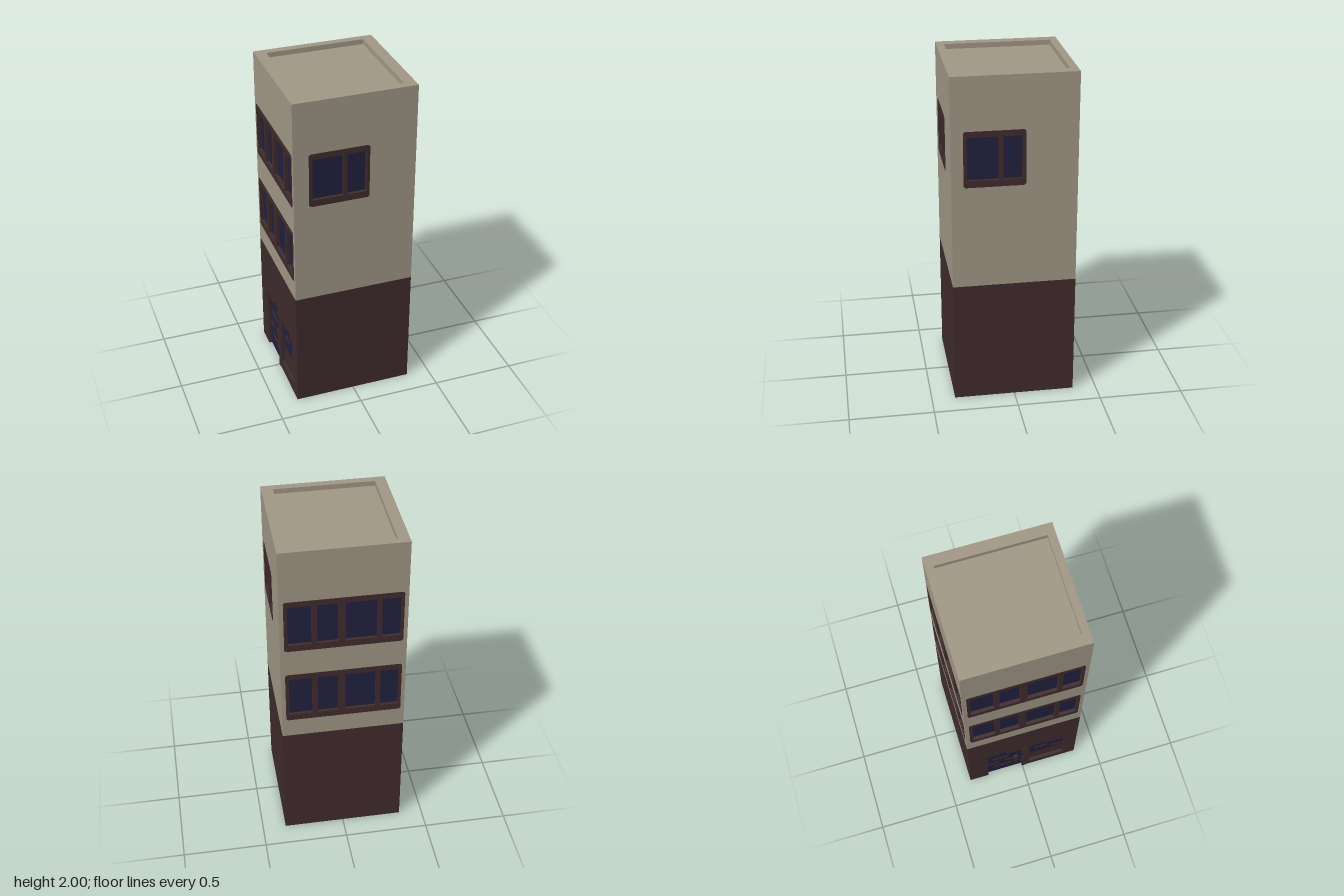
import * as THREE from 'three';

const HALF = 0.36, CORE = 0.34, SKIN = HALF - CORE;
const SPLIT = 0.742, ROOF = 1.97;

const mat = (name, color) => {
  const m = new THREE.MeshStandardMaterial({ color });
  m.name = name;
  return m;
};

export function createModel() {
  const stone = mat('beige stone', 0xa39987);
  const brown = mat('dark brown', 0x412c2d);
  const glass = mat('navy glass', 0x21213f);
  const model = new THREE.Group();
  model.name = 'tower';

  const add = (parent, name, geo, material) => {
    const mesh = new THREE.Mesh(geo, material);
    mesh.name = name;
    parent.add(mesh);
    return mesh;
  };
  // Box given by its limits on each axis
  const block = (parent, name, x0, x1, y0, y1, z0, z1, material) =>
    add(parent, name, new THREE.BoxGeometry(x1 - x0, y1 - y0, z1 - z0), material)
      .position.set((x0 + x1) / 2, (y0 + y1) / 2, (z0 + z1) / 2);
  const corners = (x0, x1, y0, y1) => [[x0, y0], [x1, y0], [x1, y1], [x0, y1]]
    .map(([x, y]) => new THREE.Vector2(x, y));
  // Flat plate with rectangular openings, extruded outward from the core
  const plate = (parent, name, outline, holes, depth, material) => {
    const shape = new THREE.Shape(outline);
    holes.forEach(h => shape.holes.push(new THREE.Path(corners(...h))));
    const geo = new THREE.ExtrudeGeometry(shape, { depth, bevelEnabled: false });
    add(parent, name, geo, material).position.z = CORE;
  };

  // Window: frame with clipped corners and recessed panes
  const windowUnit = (side, [u0, u1], panes, y) => {
    const c = 0.01, y0 = y, y1 = y + 0.33;
    const outline = [[u0 + c, y0], [u1 - c, y0], [u1, y0 + c], [u1, y1 - c],
      [u1 - c, y1], [u0 + c, y1], [u0, y1 - c], [u0, y0 + c]]
      .map(([a, b]) => new THREE.Vector2(a, b));
    const openings = panes.map(([a, b]) => [a, b, y + 0.04, y + 0.295]);
    plate(side, 'windowFrame', outline, openings, SKIN + 0.002, brown);
    openings.forEach(([a, b, p, q]) =>
      block(side, 'windowPane', a, b, p, q, CORE - 0.002, CORE + 0.002, glass));
  };

  // Inner core, which closes the recesses
  block(model, 'baseCore', -CORE, CORE, 0.003, SPLIT, -CORE, CORE, brown);
  block(model, 'upperCore', -CORE, CORE, SPLIT, ROOF, -CORE, CORE, stone);

  // Four sides; x runs left to right as seen from outside
  const single = {
    span: [-0.27, 0.085], rows: [1.355],
    panes: [[-0.25, -0.07], [-0.047, 0.065]],
  };
  const shifted = {
    span: [-0.29, 0.063], rows: [1.355],
    panes: [[-0.27, -0.09], [-0.067, 0.043]],
  };
  const band = {
    span: [-0.335, 0.337], rows: [1.355, 0.86],
    panes: [[-0.315, -0.18], [-0.15, -0.03], [0.01, 0.188], [0.214, 0.322]],
  };
  const sides = [
    ['frontSide', 0, HALF, single],
    ['leftSide', Math.PI / 2, CORE, shifted],
    ['backSide', Math.PI, HALF, band],
    ['rightSide', -Math.PI / 2, CORE, band],
  ];
  sides.forEach(([name, angle, w, { span, rows, panes }]) => {
    const side = new THREE.Group();
    side.name = name;
    side.rotation.y = angle;
    model.add(side);
    const holes = rows.map(y => [span[0] + 0.012, span[1] - 0.012, y + 0.012, y + 0.318]);
    plate(side, 'upperWall', corners(-w, w, SPLIT, ROOF), holes, SKIN, stone);
    rows.forEach(y => windowUnit(side, span, panes, y));
    if (name === 'rightSide') entrance(side, w);
    else plate(side, 'baseWall', corners(-w, w, 0, SPLIT), [], SKIN, brown);
  });

  // Entrance: a recessed leaf open to the floor beside a framed leaf
  function entrance(side, w) {
    const outline = [[-w, 0], [-0.235, 0], [-0.235, 0.43], [0, 0.43], [0, 0],
      [w, 0], [w, SPLIT], [-w, SPLIT]].map(([a, b]) => new THREE.Vector2(a, b));
    plate(side, 'baseWall', outline, [[0.045, 0.28, 0.06, 0.405]], SKIN, brown);
    const front = CORE + 0.002;
    block(side, 'doorGlass', -0.235, 0, 0, 0.43, CORE - 0.002, front, glass);
    block(side, 'doorGlass', 0.045, 0.28, 0.19, 0.405, CORE - 0.002, front, glass);
    // Staggered brown patches across the glazing
    const patches = [
      [-0.235, -0.15, 0.36], [-0.1, -0.01, 0.32], [-0.2, -0.09, 0.25],
      [-0.235, -0.16, 0.16], [-0.12, -0.02, 0.17], [-0.19, -0.07, 0.08],
      [0.045, 0.12, 0.35], [0.17, 0.28, 0.32], [0.08, 0.17, 0.26], [0.2, 0.28, 0.21],
    ];
    patches.forEach(([a, b, y]) =>
      block(side, 'doorPatch', a, b, y, y + 0.035, CORE, CORE + 0.004, brown));
    block(side, 'doorPost', -0.004, 0.02, 0, 0.43, CORE, HALF + 0.002, brown);
    block(side, 'doorHandle', -0.055, -0.035, 0.1, 0.24, CORE, CORE + 0.015, brown);
  }

  // Glass threshold under the recessed leaf
  block(model, 'threshold', -CORE, -0.15, 0, 0.005, -0.19, -0.005, glass);

  // Parapet around the sunken roof
  const rim = new THREE.Shape(corners(-HALF, HALF, -HALF, HALF));
  rim.holes.push(new THREE.Path(corners(-0.295, 0.293, -0.314, 0.314)));
  const rimGeo = new THREE.ExtrudeGeometry(rim, { depth: 2 - ROOF, bevelEnabled: false });
  rimGeo.rotateX(-Math.PI / 2);
  add(model, 'parapet', rimGeo, stone).position.y = ROOF;

  return model;
}
